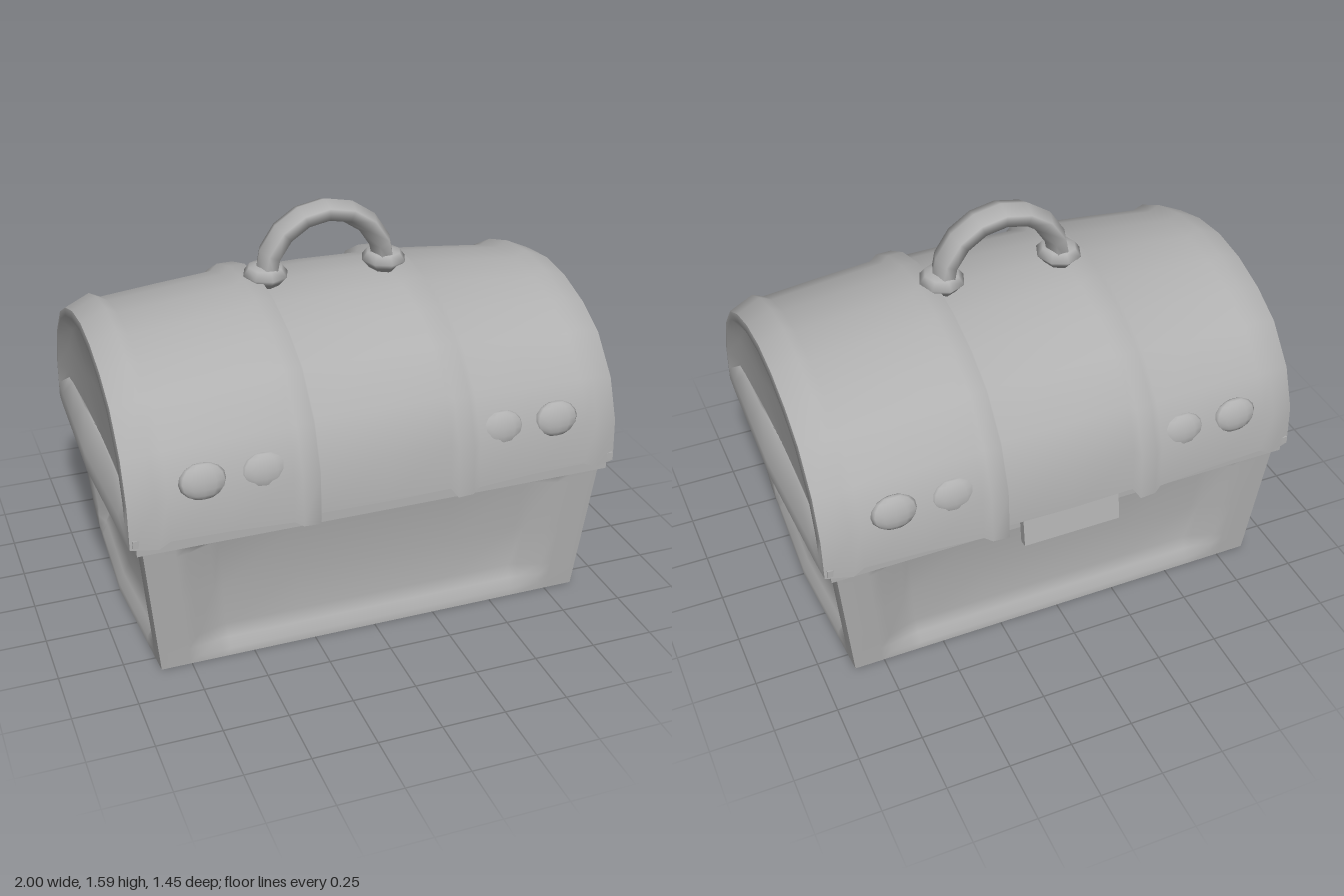
import * as THREE from 'three';

const grey = new THREE.MeshStandardMaterial({ color: 0xb0b0b0, side: THREE.DoubleSide });
grey.name = 'plain grey';

// Smooth surface through a grid of points; outward side is du x dv
function grid(us, vs, fn) {
  const pos = [], idx = [], n = vs.length;
  us.forEach(u => vs.forEach(v => pos.push(...fn(u, v))));
  for (let i = 0; i < us.length - 1; i++) {
    for (let j = 0; j < n - 1; j++) {
      const a = i * n + j, b = a + n;
      idx.push(a, b, b + 1, a, b + 1, a + 1);
    }
  }
  const g = new THREE.BufferGeometry();
  g.setAttribute('position', new THREE.Float32BufferAttribute(pos, 3));
  g.setIndex(idx);
  g.computeVertexNormals();
  return g;
}

function add(parent, name, geometry, x = 0, y = 0, z = 0) {
  const m = new THREE.Mesh(geometry, grey);
  m.name = name;
  m.position.set(x, y, z);
  parent.add(m);
  return m;
}

const ramp = (v, a, b) => THREE.MathUtils.clamp((v - a) / (b - a), 0, 1);

// Tapered wall with a sunken panel; bow pushes the middle outward
function wall(halfWidth, widen, out, flare, bow, depth) {
  const half = [0, 0.35, 0.68, 0.72, 0.82, 0.87];
  const us = [-1, ...half.slice(1).reverse().map(s => -s), ...half, 1];
  const ts = [0, 0.05, 0.12, 0.2, 0.5, 0.85, 0.9, 0.95, 1];
  return grid(us, ts, (s, t) => {
    const sunk = ramp(Math.abs(s), 0.85, 0.7) * ramp(t, 0.04, 0.2) * ramp(t, 0.95, 0.86);
    return [s * (halfWidth + widen * t), 0.61 * t,
      out + flare * t + bow * (1 - Math.abs(s)) - depth * sunk];
  });
}

// Half arch of the lid: [share of half depth, share of height]
const quarter = [[1, 0], [0.985, 0.28], [0.89, 0.54], [0.7, 0.77], [0.49, 0.89], [0.25, 0.97]];
const arch = [...quarter, [0, 1], ...quarter.slice().reverse().map(([z, y]) => [-z, y])];

// Lid sections: x, half depth, top, bottom
const halfSections = [
  [0.26, 0.685, 1.28, 0.63], [0.275, 0.725, 1.31, 0.61], [0.34, 0.72, 1.31, 0.61],
  [0.37, 0.705, 1.28, 0.625], [0.6, 0.692, 1.258, 0.63], [0.83, 0.677, 1.235, 0.625],
  [0.875, 0.685, 1.26, 0.605], [0.975, 0.65, 1.215, 0.6],
];
const sections = [
  ...halfSections.slice().reverse().map(([x, ...r]) => [-x, ...r]),
  [0, 0.69, 1.285, 0.63],
  ...halfSections,
];

// Rounded rim, bottom lip and sunken panel of a lid end; rings: scale, x, lip height, bow
function lidEnd() {
  const rings = [[1, 0.975, 0.585, 0.02], [0.94, 0.98, 0.67, 0.02], [0.84, 0.945, 0.74, 0],
    [0.45, 0.935, 0.735, 0], [0, 0.93, 0.73, 0]];
  const rim = [
    ...arch.map(([z, y]) => [z * 0.65, 0.6 + 0.615 * y, false]),
    ...[-0.55, -0.28, 0, 0.28, 0.55].map(z => [z, 0, true]),
    [0.65, 0.6, false],
  ];
  return grid(rings, rim, ([s, x, lip, bow], [z, y, low]) => {
    const py = low ? lip + 0.01 * Math.abs(z) : Math.max(0.73 + (y - 0.73) * s, Math.min(lip + 0.01, 0.73));
    return [x + (low ? bow * (1 - Math.abs(z) / 0.65) : 0), s === 1 && !low ? y : py, z * s];
  });
}

export function createModel() {
  const model = new THREE.Group();
  model.name = 'chest';

  // Base box
  const base = new THREE.Group();
  base.name = 'base';
  model.add(base);
  for (const turn of [0, 1, 2, 3]) {
    const end = turn % 2 === 1;
    const g = end ? wall(0.58, 0.05, 0.87, 0.06, 0.03, 0.06) : wall(0.87, 0.06, 0.58, 0.05, 0, 0.05);
    add(base, end ? 'baseEnd' : 'baseWall', g).rotation.y = turn * Math.PI / 2;
  }
  const floor = new THREE.Shape([[-0.87, -0.58], [0.87, -0.58], [0.9, 0], [0.87, 0.58], [-0.87, 0.58], [-0.9, 0]]
    .map(p => new THREE.Vector2(...p)));
  add(base, 'floor', new THREE.ShapeGeometry(floor)).rotation.x = Math.PI / 2;
  add(base, 'baseRim', new THREE.BoxGeometry(1.9, 0.05, 1.29), 0, 0.59, 0);

  // Barrel lid with two raised straps and rounded end rims
  const lid = new THREE.Group();
  lid.name = 'lid';
  model.add(lid);
  add(lid, 'lidBarrel', grid(sections, arch,
    ([x, half, top, bottom], [z, y]) => [x, bottom + (top - bottom) * y, half * z]));
  for (const turn of [0, Math.PI]) add(lid, 'lidEnd', lidEnd()).rotation.y = turn;
  add(lid, 'lidUnderside', new THREE.BoxGeometry(1.93, 0.03, 1.32), 0, 0.625, 0);

  // Soft bumps low on the lid, front and back
  for (const z of [-1, 1]) {
    for (const x of [-0.7, -0.47, 0.47, 0.7]) {
      const bump = add(lid, 'lidBump', new THREE.SphereGeometry(1, 12, 8), x, 0.84, z * 0.66);
      bump.scale.set(0.09, 0.07, 0.03);
      bump.rotation.x = -z * 0.2;
    }
  }

  // Hanging clasp plate at the back
  add(model, 'clasp', new THREE.BoxGeometry(0.4, 0.15, 0.035), 0, 0.585, -0.67).rotation.x = 0.15;

  // Carrying handle with its two collars
  const handle = new THREE.Group();
  handle.name = 'handle';
  model.add(handle);
  add(handle, 'grip', new THREE.TorusGeometry(0.245, 0.045, 6, 8, Math.PI), 0, 1.3, 0).scale.z = 1.65;
  const collar = [[0.05, 1.26], [0.075, 1.29], [0.1, 1.315], [0.075, 1.345], [0.04, 1.35]]
    .map(p => new THREE.Vector2(...p));
  for (const side of [-1, 1]) {
    const c = add(handle, 'collar', new THREE.LatheGeometry(collar, 8), side * 0.245);
    c.scale.x = 0.9;
  }
  return model;
}
